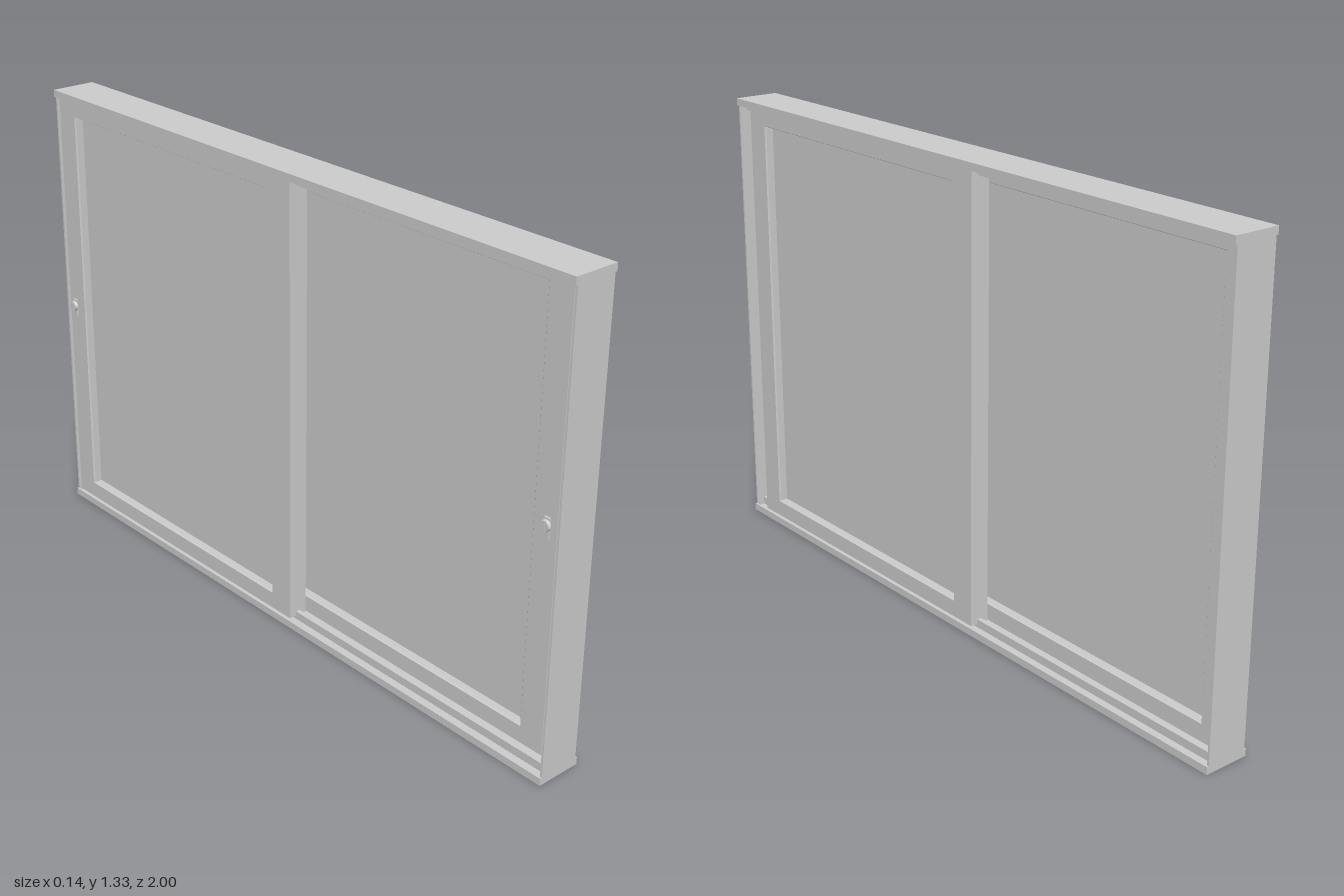
import * as THREE from 'three';

const H = 1.33;                       // overall height
const X0 = -0.064, X1 = 0.071;        // frame depth
const SASH_X = [0.034, -0.027];       // centre planes of the two sashes
const HALF = 0.029;                   // half the sash thickness

const grey = new THREE.MeshStandardMaterial({ color: 0xcccccc, side: THREE.DoubleSide });

function add(parent, name, geometry, x = 0, y = 0, z = 0) {
  const mesh = new THREE.Mesh(geometry, grey);
  mesh.name = name;
  mesh.position.set(x, y, z);
  parent.add(mesh);
  return mesh;
}

// Frame rail: channel with side lips and one raised track per sash
function railGeometry(flip) {
  const pts = [[X0, 0], [X1, 0], [X1, 0.021], [X1 - 0.006, 0.021], [X1 - 0.006, 0.014]];
  for (const c of SASH_X) {
    pts.push([c + 0.007, 0.014], [c + 0.007, 0.038], [c - 0.007, 0.038], [c - 0.007, 0.014]);
  }
  pts.push([X0 + 0.006, 0.014], [X0 + 0.006, 0.021], [X0, 0.021]);
  const shape = new THREE.Shape(pts.map(([x, y]) => new THREE.Vector2(x, flip ? H - y : y)));
  return new THREE.ExtrudeGeometry(shape, { depth: 2, bevelEnabled: false }).translate(0, 0, -1);
}

// Mitred ring: a profile (t from outer to inner rectangle, x) swept round four corners
function ringGeometry(outer, inner, profile) {
  const corners = [[0, 0], [1, 0], [1, 1], [0, 1]];
  const at = (k, j) => {
    const [a, b] = corners[k % 4], [t, x] = profile[j % profile.length];
    const mix = (p, q) => p + (q - p) * t;
    return [x, mix(outer.y[b], inner.y[b]), mix(outer.z[a], inner.z[a])];
  };
  const pos = [];
  for (let k = 0; k < 4; k++) {
    for (let j = 0; j < profile.length; j++) {
      const a = at(k, j), b = at(k + 1, j), c = at(k + 1, j + 1), d = at(k, j + 1);
      pos.push(...a, ...c, ...b, ...a, ...d, ...c);
    }
  }
  const g = new THREE.BufferGeometry();
  g.setAttribute('position', new THREE.Float32BufferAttribute(pos, 3));
  g.computeVertexNormals();
  return g;
}

// Latch: small upright plate with a round thumb turn
function makeLatch() {
  const latch = new THREE.Group();
  latch.name = 'latch';
  add(latch, 'latchPlate', new THREE.BoxGeometry(0.006, 0.055, 0.018), -0.003);
  add(latch, 'latchKnob', new THREE.CylinderGeometry(0.014, 0.016, 0.008, 24).rotateZ(Math.PI / 2), -0.01, 0.007);
  add(latch, 'latchGrip', new THREE.BoxGeometry(0.004, 0.03, 0.006), -0.014, 0.007);
  return latch;
}

// Sliding sash: end stile at zEnd, meeting stile at zMeet, pane between them
function makeSash(name, x, zEnd, zMeet) {
  const sash = new THREE.Group();
  sash.name = name;
  sash.position.x = x;
  const dir = Math.sign(zMeet - zEnd);
  const span = (p, q) => [Math.min(p, q), Math.max(p, q)];
  const outer = { y: [0.024, 1.311], z: span(zEnd, zMeet) };
  const inner = { y: [0.075, 1.265], z: span(zEnd + dir * 0.077, zMeet - dir * 0.08) };
  const h = HALF, c = 0.004;
  add(sash, 'sashFrame', ringGeometry(outer, inner,
    [[0, -h], [0, h], [0.95, h], [1, h - c], [1, c - h], [0.95, -h]]));
  const gy = inner.y[1] - inner.y[0], gz = inner.z[1] - inner.z[0];
  add(sash, 'pane', new THREE.BoxGeometry(0.006, gy + 0.01, gz + 0.01),
    0, (inner.y[0] + inner.y[1]) / 2, (inner.z[0] + inner.z[1]) / 2);
  const latch = makeLatch();
  latch.position.set(-HALF, 0.66, zEnd + dir * 0.03);
  sash.add(latch);
  return sash;
}

export function createModel() {
  const model = new THREE.Group();
  model.name = 'slidingWindow';

  // Outer frame
  add(model, 'bottomRail', railGeometry(false));
  add(model, 'topRail', railGeometry(true));
  for (const s of [-1, 1]) {
    add(model, s > 0 ? 'frontJamb' : 'backJamb',
      new THREE.BoxGeometry(X1 - X0 - 0.012, H - 0.028, 0.006), (X0 + X1) / 2, H / 2, s * 0.997);
  }

  // Two sashes on neighbouring tracks, overlapping in the middle
  model.add(makeSash('leftSash', SASH_X[0], 0.94, -0.095));
  model.add(makeSash('rightSash', SASH_X[1], -0.985, 0.05));
  return model;
}
